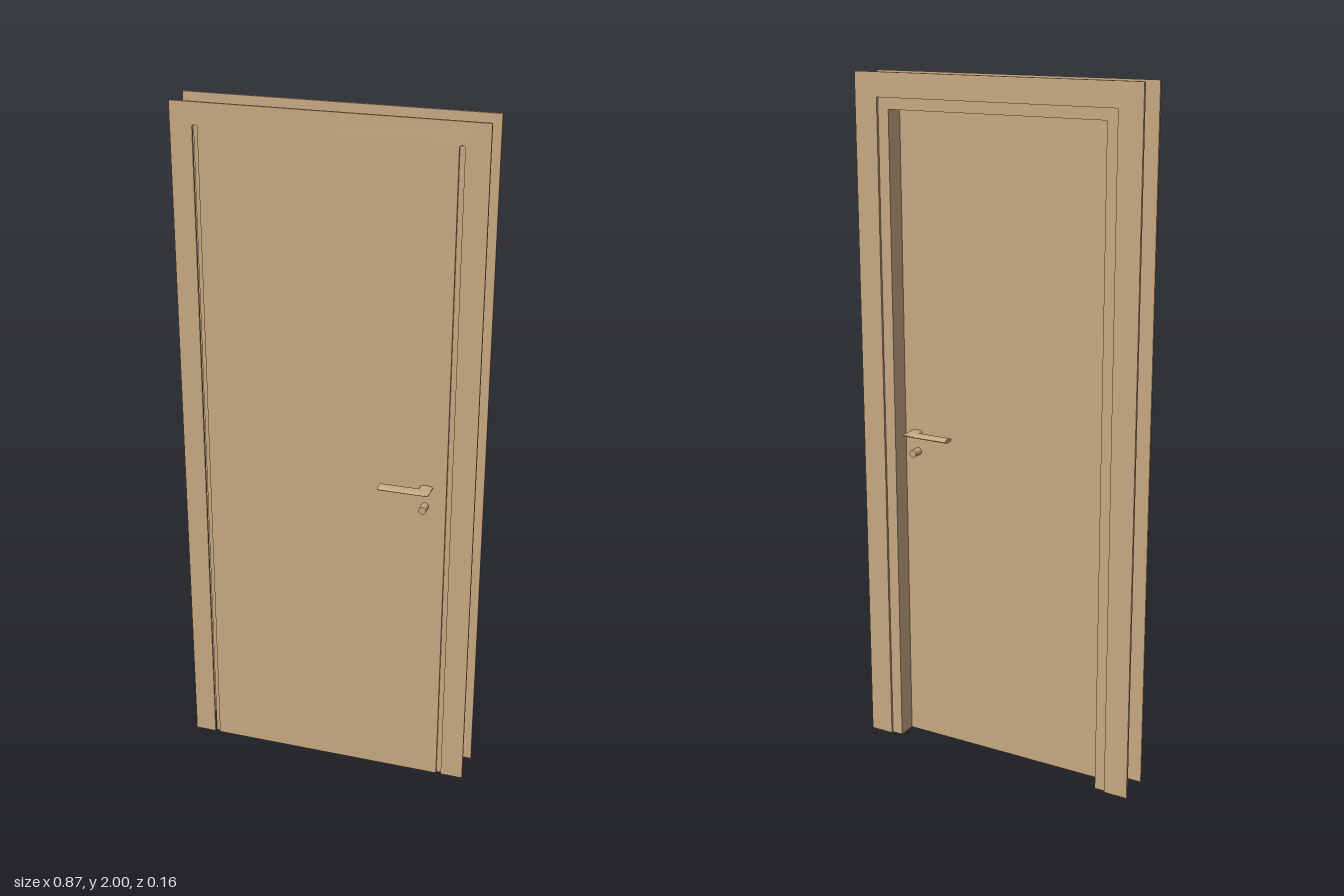
import * as THREE from 'three';
import { toCreasedNormals } from 'three/addons/utils/BufferGeometryUtils.js';

const wood = new THREE.MeshStandardMaterial({ color: 0xc8a882 });

function add(parent, name, geometry) {
  const mesh = new THREE.Mesh(geometry, wood);
  mesh.name = name;
  parent.add(mesh);
  return mesh;
}

// Extrude an outline between two depths
function slab(shape, z0, z1) {
  const g = new THREE.ExtrudeGeometry(shape, { depth: z1 - z0, bevelEnabled: false, curveSegments: 12 });
  return g.translate(0, 0, z0);
}

// Door surround open at the floor
function portal(outerX, outerY, innerX, innerY) {
  return new THREE.Shape([
    [-outerX, 0], [-innerX, 0], [-innerX, innerY], [innerX, innerY],
    [innerX, 0], [outerX, 0], [outerX, outerY], [-outerX, outerY],
  ].map(([x, y]) => new THREE.Vector2(x, y)));
}

// Front sheet with two round-topped slots rising from the floor
function slottedSheet() {
  const s = new THREE.Shape();
  const r = 0.0075, top = 1.93;
  s.moveTo(-0.433, 0);
  for (const x of [-0.3625, 0.3575]) {
    s.lineTo(x - r, 0);
    s.lineTo(x - r, top);
    s.absarc(x, top, r, Math.PI, 0, true);
    s.lineTo(x + r, 0);
  }
  s.lineTo(0.431, 0);
  s.lineTo(0.431, 1.998);
  s.lineTo(-0.433, 1.998);
  s.closePath();
  return s;
}

// Flat oval bar: out from the door, mitred, then along -x
function leverGeometry() {
  const n = 32, half = 0.018, thick = 0.006, cx = 0.293, cz = 0.035, endX = 0.165;
  const rings = [[], [], []];
  for (let j = 0; j <= n; j++) {
    const t = (j / n) * Math.PI * 2;
    const w = half * Math.cos(t), h = thick * Math.sin(t);
    rings[0].push([cx + w, h, 0]);
    rings[1].push([cx + w, h, cz + w]);
    rings[2].push([endX, h, cz + w]);
  }
  const pos = [];
  for (let j = 0; j < n; j++) {
    for (let i = 0; i < 2; i++) {
      const a = rings[i][j], b = rings[i][j + 1], c = rings[i + 1][j + 1], d = rings[i + 1][j];
      pos.push(...a, ...b, ...c, ...a, ...c, ...d);
    }
    pos.push(endX, 0, cz, ...rings[2][j], ...rings[2][j + 1]);
  }
  const g = new THREE.BufferGeometry();
  g.setAttribute('position', new THREE.Float32BufferAttribute(pos, 3));
  return toCreasedNormals(g, 0.8);
}

export function createModel() {
  const door = new THREE.Group();
  door.name = 'door';

  // Frame and casings
  add(door, 'frontPanel', slab(slottedSheet(), 0.02, 0.027));
  add(door, 'jamb', slab(portal(0.368, 1.935, 0.332, 1.9), -0.077, 0.02));
  add(door, 'backCasing', slab(portal(0.436, 2, 0.365, 1.932), -0.084, -0.076));

  // Leaf body filling the frame
  const leaf = add(door, 'leaf', new THREE.BoxGeometry(0.664, 1.9, 0.04));
  leaf.position.set(0, 0.95, 0);

  // Lever and lock cylinder on each face
  const lever = leverGeometry();
  const lock = new THREE.CylinderGeometry(0.011, 0.011, 0.031, 24).rotateX(Math.PI / 2);
  for (const [side, face, dir] of [['front', 0.027, 1], ['back', -0.02, -1]]) {
    const handle = add(door, side + 'Lever', lever);
    handle.position.set(0, 0.97, face);
    handle.rotation.x = dir > 0 ? 0 : Math.PI;
    add(door, side + 'LockCylinder', lock).position.set(0.29, 0.911, face + dir * 0.0155);
  }
  return door;
}
